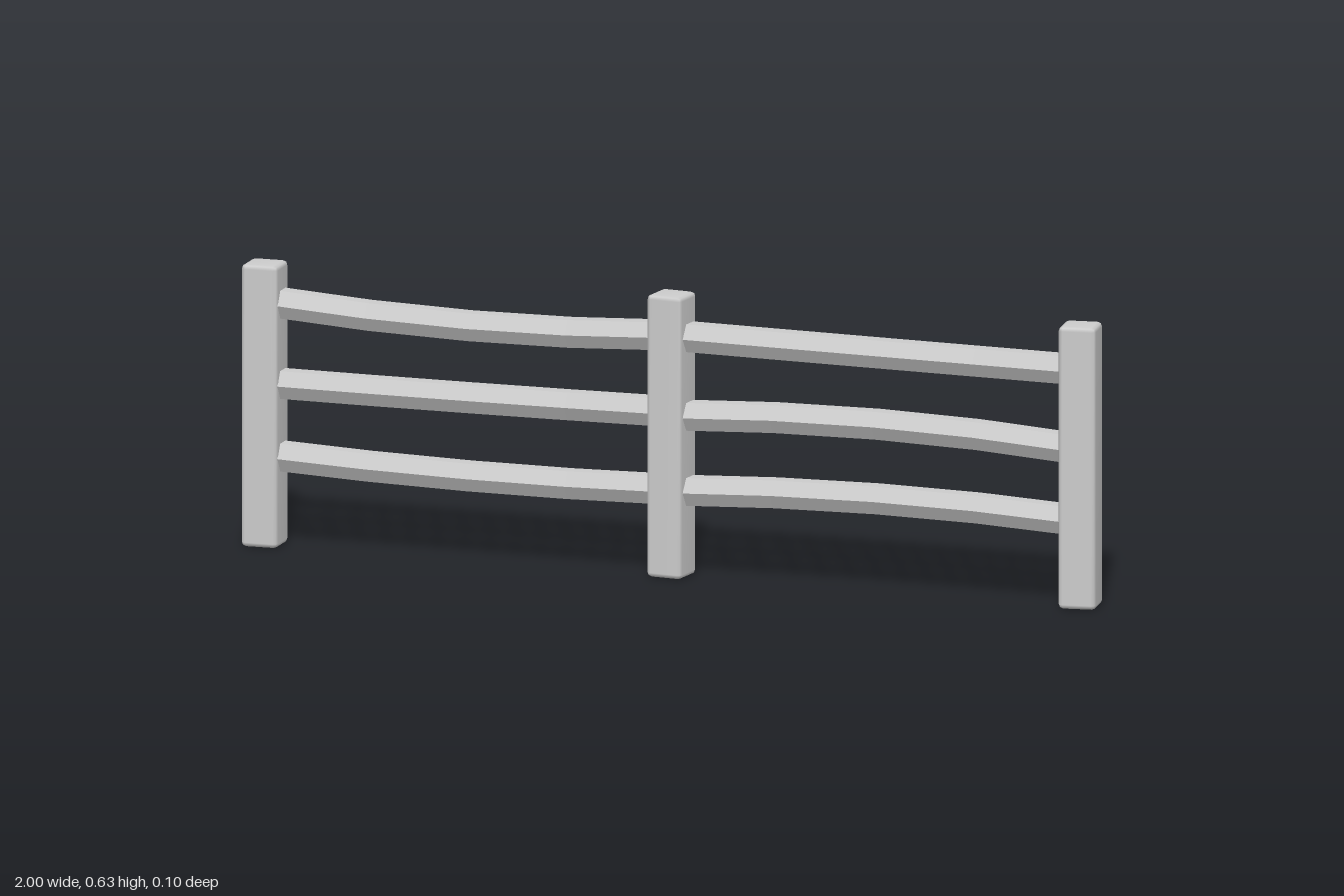
import * as THREE from 'three';
import { mergeVertices } from 'three/addons/utils/BufferGeometryUtils.js';
import { RoundedBoxGeometry } from 'three/addons/geometries/RoundedBoxGeometry.js';

const POST_HEIGHT = 0.635;
const RAIL_RADIUS = 0.036;

// Square post with softly chamfered edges, shaded smoothly across the bevels
function postGeometry() {
  const box = new RoundedBoxGeometry(0.084, POST_HEIGHT, 0.084, 1, 0.01);
  box.deleteAttribute('uv');
  box.deleteAttribute('normal');
  const geometry = mergeVertices(box);
  geometry.computeVertexNormals();
  return geometry;
}

// Six-sided log lying along x, bent through a left, middle and right height and bowed backwards
function railGeometry(x0, x1, [yStart, yMiddle, yEnd], bow) {
  const geometry = new THREE.CylinderGeometry(RAIL_RADIUS, RAIL_RADIUS, x1 - x0, 6, 4);
  geometry.rotateZ(Math.PI / 2);
  const p = geometry.attributes.position;
  for (let i = 0; i < p.count; i++) {
    const t = p.getX(i) / (x1 - x0) * 2;
    const arch = 1 - t * t;
    const y = yStart * t * (t - 1) / 2 + yMiddle * arch + yEnd * t * (t + 1) / 2;
    p.setXYZ(i, p.getX(i) + (x0 + x1) / 2, p.getY(i) + y, p.getZ(i) + 0.002 - bow * arch);
  }
  geometry.computeVertexNormals();
  return geometry;
}

export function createModel() {
  const fence = new THREE.Group();
  fence.name = 'fence';
  const wood = new THREE.MeshStandardMaterial({ color: 0xcccccc });
  wood.name = 'paleGreyWood';
  const railWood = wood.clone();
  railWood.name = 'paleGreyRailWood';
  railWood.flatShading = true;

  // Posts, each turned a little differently
  const posts = [
    ['rightPost', -0.957, 0.03],
    ['middlePost', -0.004, -0.1],
    ['leftPost', 0.954, 0.14],
  ];
  const post = postGeometry();
  for (const [name, x, turn] of posts) {
    const mesh = new THREE.Mesh(post, wood);
    mesh.name = name;
    mesh.position.set(x, POST_HEIGHT / 2, 0.002);
    mesh.rotation.y = turn;
    fence.add(mesh);
  }

  // Rails, three in each bay: heights at start, middle and end, then backward bow
  const bays = [
    { side: 'right', x0: -0.95, x1: -0.01, rails: [
      [[0.548, 0.523, 0.54], 0.017],
      [[0.365, 0.362, 0.368], 0.012],
      [[0.203, 0.186, 0.193], 0.012],
    ] },
    { side: 'left', x0: 0, x1: 0.945, rails: [
      [[0.54, 0.532, 0.532], 0.016],
      [[0.361, 0.372, 0.354], 0.013],
      [[0.192, 0.204, 0.193], 0.013],
    ] },
  ];
  const levels = ['Top', 'Middle', 'Bottom'];
  for (const { side, x0, x1, rails } of bays) {
    rails.forEach(([heights, bow], i) => {
      const mesh = new THREE.Mesh(railGeometry(x0, x1, heights, bow), railWood);
      mesh.name = `${side}${levels[i]}Rail`;
      fence.add(mesh);
    });
  }
  return fence;
}
